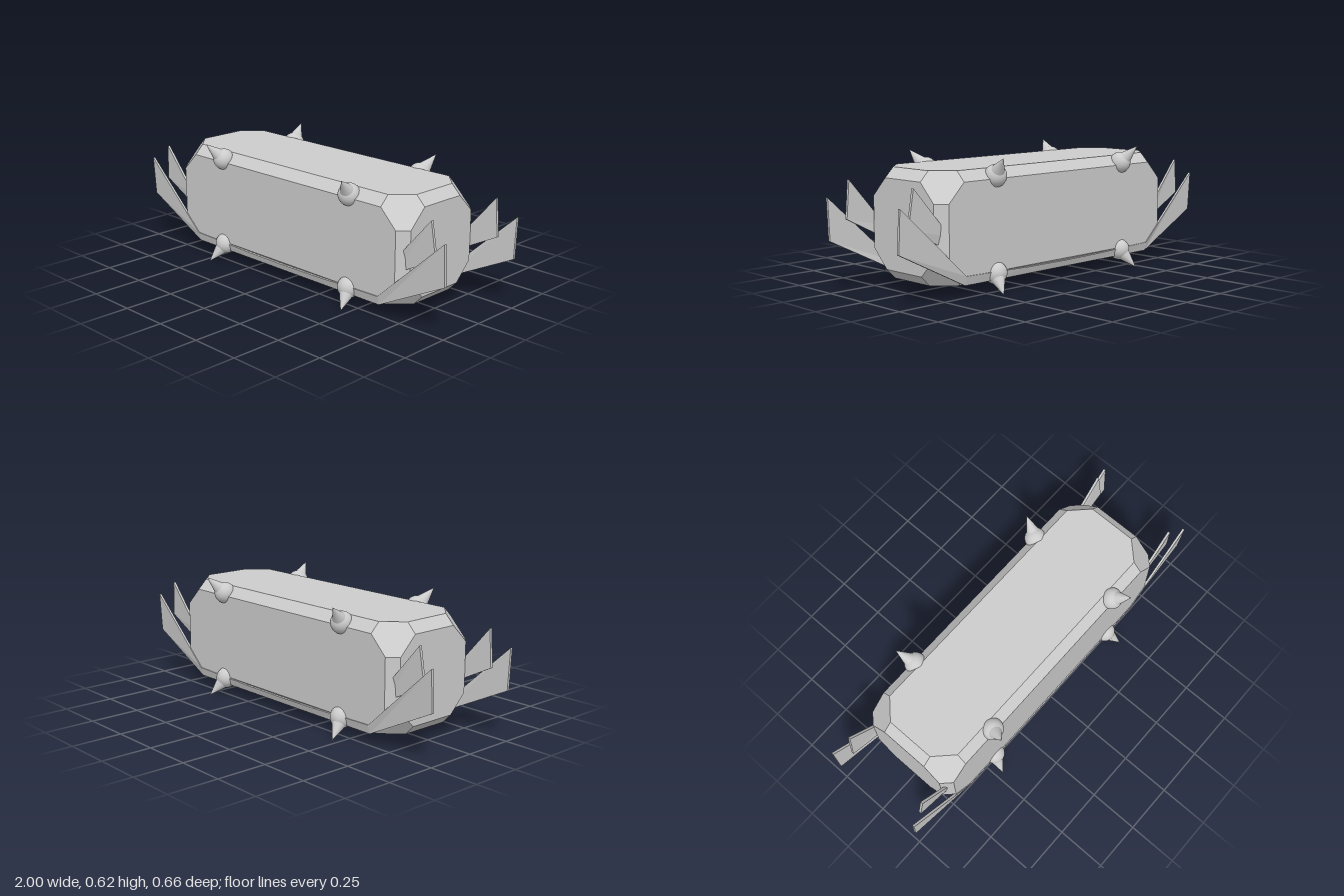
import * as THREE from 'three';
import { ConvexGeometry } from 'three/addons/geometries/ConvexGeometry.js';

const MID_Y = 0.309;
const flat = new THREE.MeshStandardMaterial({ color: 0xcccccc, flatShading: true });
const smooth = new THREE.MeshStandardMaterial({ color: 0xcccccc });

// Box with bevelled edges and large hexagonal corner cuts
function bevelledBox(hx, hy, hz, edge, corner) {
  const insets = [
    [0, edge, corner], [0, corner, edge], [edge, 0, corner],
    [corner, 0, edge], [edge, corner, 0], [corner, edge, 0],
  ];
  const points = [];
  for (const sx of [-1, 1]) for (const sy of [-1, 1]) for (const sz of [-1, 1]) {
    for (const [a, b, c] of insets) {
      points.push(new THREE.Vector3(sx * (hx - a), sy * (hy - b), sz * (hz - c)));
    }
  }
  return new ConvexGeometry(points);
}

// Thin leaning plate lofted along +x; station = [bottom x, bottom y, top x, top y]
function plate(stations, zBottom, zTop, thickness) {
  const h = thickness / 2;
  const positions = [];
  const index = [];
  for (const [xb, yb, xt, yt] of stations) {
    positions.push(xb, yb, zBottom + h, xt, yt, zTop + h, xt, yt, zTop - h, xb, yb, zBottom - h);
  }
  const last = (stations.length - 1) * 4;
  for (let i = 0; i < last; i += 4) {
    for (let j = 0; j < 4; j++) {
      const k = (j + 1) % 4;
      index.push(i + j, i + 4 + j, i + 4 + k, i + j, i + 4 + k, i + k);
    }
  }
  index.push(0, 1, 2, 0, 2, 3);
  index.push(last, last + 3, last + 2, last, last + 2, last + 1);
  const indexed = new THREE.BufferGeometry();
  indexed.setAttribute('position', new THREE.Float32BufferAttribute(positions, 3));
  indexed.setIndex(index);
  const geometry = indexed.toNonIndexed();
  geometry.computeVertexNormals();
  return geometry;
}

const mirrorX = (stations) => stations.map(([a, b, c, d]) => [-a, b, -c, d]).reverse();

function add(parent, name, geometry, material) {
  const mesh = new THREE.Mesh(geometry, material);
  mesh.name = name;
  parent.add(mesh);
  return mesh;
}

// Ball with a cone pointing outward
function spike(sx, sy, sz) {
  const group = new THREE.Group();
  group.name = 'spike';
  const ball = add(group, 'spikeBall', new THREE.SphereGeometry(0.053, 32, 20), smooth);
  ball.position.set(sx * 0.434, MID_Y + sy * 0.223, sz * 0.244);
  const tip = new THREE.Vector3(sx * 0.466, MID_Y + sy * 0.309, sz * 0.33);
  const axis = tip.clone().sub(ball.position).normalize();
  const length = 0.09;
  const cone = add(group, 'spikeCone', new THREE.ConeGeometry(0.034, length, 32), smooth);
  cone.position.copy(tip).addScaledVector(axis, -length / 2);
  cone.quaternion.setFromUnitVectors(new THREE.Vector3(0, 1, 0), axis);
  return group;
}

export function createModel() {
  const model = new THREE.Group();
  model.name = 'spikedBlock';

  const body = add(model, 'body', bevelledBox(0.774, 0.2585, 0.26, 0.047, 0.136), flat);
  body.position.y = MID_Y;

  // Long lower blade with upswept ends, its top edge sagging slightly in the middle
  const half = [[0.25, 0.056, 0.25, 0.09], [0.5, 0.056, 0.5, 0.097], [0.63, 0.056, 0.63, 0.1], [1, 0.24, 1, 0.438]];
  const bladeStations = [...mirrorX(half), [0, 0.056, 0, 0.088], ...half];
  // Short upper fin at each end
  const fin = [[0.70, 0.22, 0.70, 0.283], [0.925, 0.335, 0.903, 0.514]];

  // Same set of blades on front and back
  for (const angle of [0, Math.PI]) {
    const side = new THREE.Group();
    side.name = angle ? 'backBlades' : 'frontBlades';
    side.rotation.y = angle;
    add(side, 'lowerBlade', plate(bladeStations, 0.247, 0.2585, 0.012), flat);
    add(side, 'leftFin', plate(fin, 0.219, 0.229, 0.013), flat);
    add(side, 'rightFin', plate(mirrorX(fin), 0.219, 0.229, 0.013), flat);
    model.add(side);
  }

  // Spikes on the four long edges
  for (const sx of [-1, 1]) for (const sy of [-1, 1]) for (const sz of [-1, 1]) {
    model.add(spike(sx, sy, sz));
  }
  return model;
}
